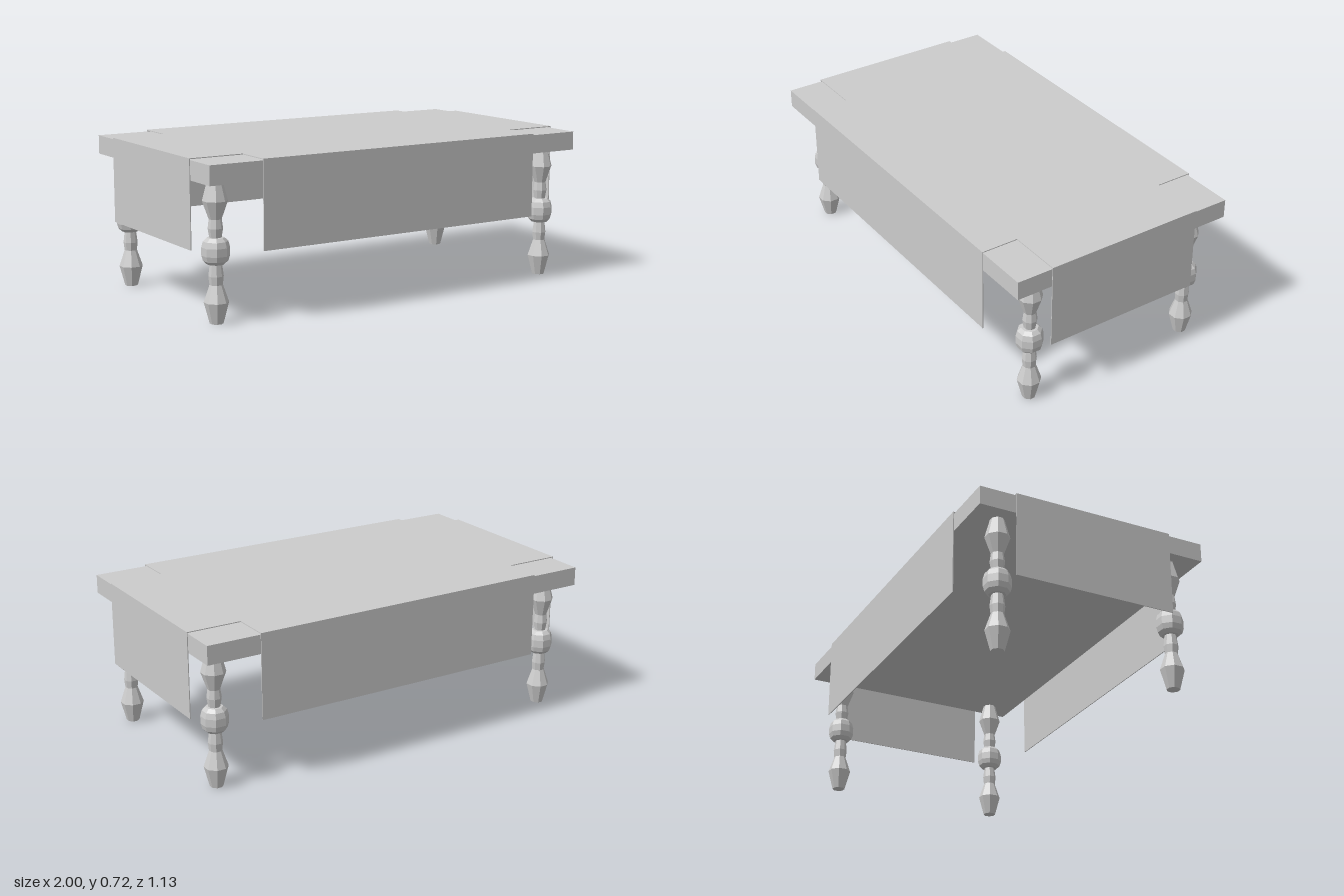
import * as THREE from 'three';

const material = new THREE.MeshStandardMaterial({ color: 0xcccccc, flatShading: true });

function box(name, w, h, d, x, y, z) {
  const mesh = new THREE.Mesh(new THREE.BoxGeometry(w, h, d), material);
  mesh.name = name;
  mesh.position.set(x, y, z);
  return mesh;
}

// Turned leg profile: [half-width across flats, height]
const LEG_PROFILE = [
  [0, 0], [0.028, 0], [0.051, 0.095], [0.027, 0.172], [0.031, 0.21], [0.025, 0.262],
  [0.036, 0.263], [0.051, 0.278], [0.0575, 0.302], [0.0575, 0.338], [0.051, 0.364], [0.036, 0.379],
  [0.025, 0.38], [0.031, 0.42], [0.026, 0.46], [0.052, 0.54], [0.029, 0.632],
];

function legGeometry() {
  const sides = 8;
  const k = 1 / Math.cos(Math.PI / sides);
  const points = LEG_PROFILE.map(([r, y]) => new THREE.Vector2(r * k, y));
  return new THREE.LatheGeometry(points, sides, Math.PI / sides);
}

export function createModel() {
  const model = new THREE.Group();
  model.name = 'table';

  // Board
  const topY = 0.716, bottomY = 0.628;
  model.add(box('tableTop', 1.99, topY - bottomY, 1.12, 0, (topY + bottomY) / 2, 0));

  // Tablecloth: a cross-shaped sheet with a hanging flap on each side
  const cloth = new THREE.Group();
  cloth.name = 'tablecloth';
  const X = 1, Z = 0.565, nx = 0.74, nz = 0.387, t = 0.004, clothY = 0.724, hem = 0.324;
  const outline = [
    [-nx, -Z], [nx, -Z], [nx, -nz], [X, -nz], [X, nz], [nx, nz],
    [nx, Z], [-nx, Z], [-nx, nz], [-X, nz], [-X, -nz], [-nx, -nz],
  ].map(([x, z]) => new THREE.Vector2(x, z));
  const sheet = new THREE.Mesh(
    new THREE.ExtrudeGeometry(new THREE.Shape(outline), { depth: t, bevelEnabled: false }), material);
  sheet.name = 'clothTop';
  sheet.rotation.x = -Math.PI / 2;
  sheet.position.y = clothY - t;
  cloth.add(sheet);

  const drop = clothY - t - hem, midY = hem + drop / 2;
  for (const s of [-1, 1]) {
    cloth.add(box(s > 0 ? 'frontFlap' : 'backFlap', 2 * nx, drop, t, 0, midY, s * (Z - t / 2)));
    cloth.add(box(s > 0 ? 'leftFlap' : 'rightFlap', t, drop, 2 * nz, s * (X - t / 2), midY, 0));
  }
  model.add(cloth);

  // Legs
  const geometry = legGeometry();
  for (const sx of [-1, 1]) {
    for (const sz of [-1, 1]) {
      const leg = new THREE.Mesh(geometry, material);
      leg.name = (sz > 0 ? 'front' : 'back') + (sx > 0 ? 'Left' : 'Right') + 'Leg';
      leg.position.set(sx * 0.903, 0, sz * 0.431);
      model.add(leg);
    }
  }
  return model;
}
